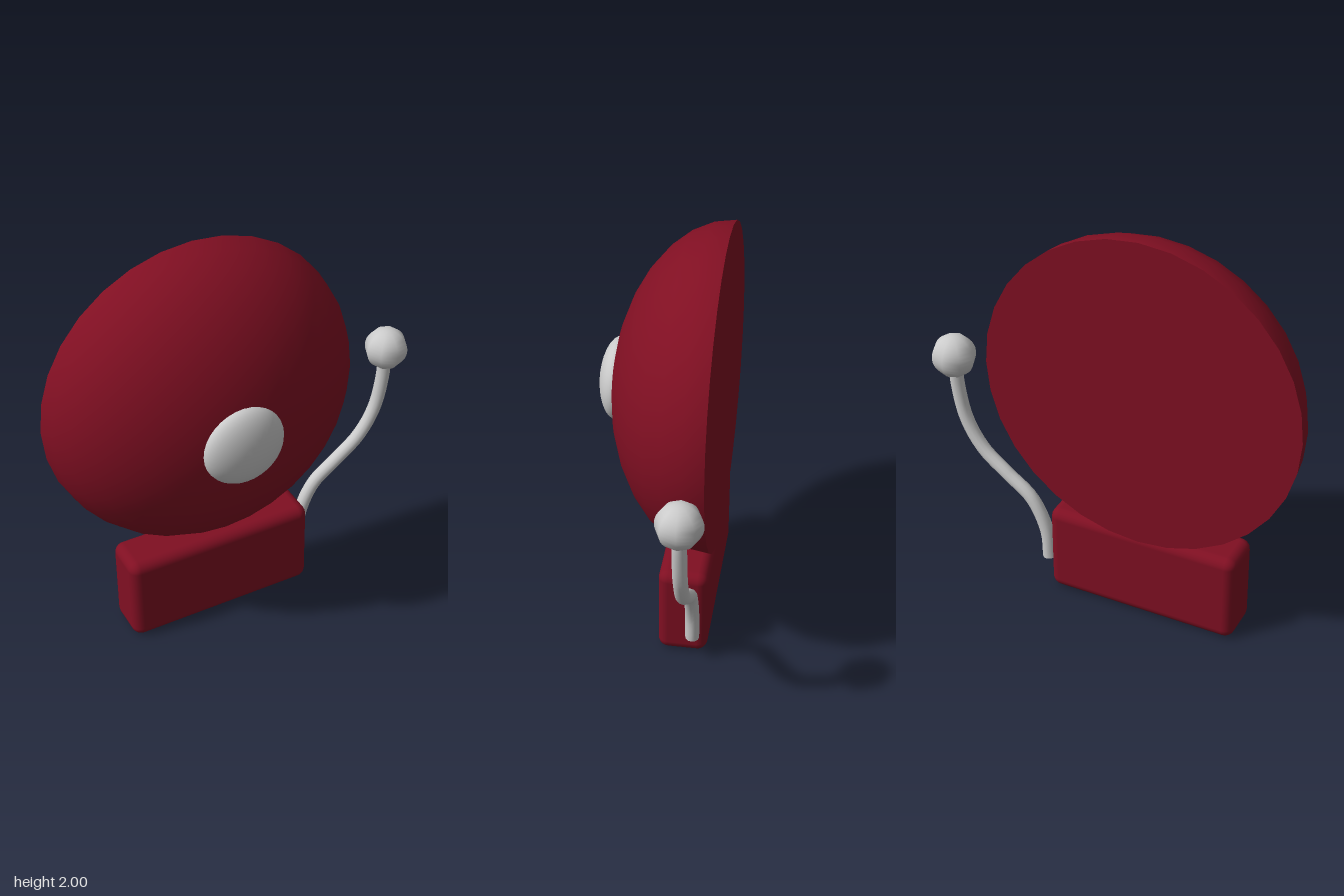
import * as THREE from 'three';
import { RoundedBoxGeometry } from 'three/addons/geometries/RoundedBoxGeometry.js';

export function createModel() {
  const group = new THREE.Group();
  group.name = 'alarmBell';
  const red = new THREE.MeshStandardMaterial({ color: 0x800f22 });
  const grey = new THREE.MeshStandardMaterial({ color: 0xcccccc });

  const add = (name, geometry, material, x, y, z) => {
    const mesh = new THREE.Mesh(geometry, material);
    mesh.name = name;
    mesh.position.set(x, y, z);
    group.add(mesh);
    return mesh;
  };

  // Half-ellipsoid facing +z
  const dome = (radius, depth, sides, rings) =>
    new THREE.SphereGeometry(radius, sides, rings, 0, Math.PI * 2, 0, Math.PI / 2)
      .rotateX(Math.PI / 2)
      .scale(1, 1, depth / radius);

  // Gong shell with its flat back
  add('gong', dome(0.78, 0.525, 32, 8), red, -0.17, 1.22, -0.28);
  add('gongBack', new THREE.CircleGeometry(0.78, 32).rotateY(Math.PI), red, -0.17, 1.22, -0.28);

  // Domed cap in the middle of the gong
  add('centreCap', dome(0.2, 0.09, 32, 8), grey, -0.185, 1.22, 0.225);

  // Rounded housing below the gong
  add('base', new RoundedBoxGeometry(0.97, 0.46, 0.24, 3, 0.05), red, -0.17, 0.23, -0.15);

  // S-shaped striker arm
  const armZ = -0.205;
  const path = new THREE.CatmullRomCurve3([
    [0.35, 0.13], [0.362, 0.28], [0.44, 0.45], [0.57, 0.555],
    [0.7, 0.665], [0.785, 0.81], [0.825, 1.0], [0.83, 1.12],
  ].map(([x, y]) => new THREE.Vector3(x, y, 0)));
  add('strikerArm', new THREE.TubeGeometry(path, 32, 0.034, 12), grey, 0, 0, armZ);
  add('strikerArmEnd', new THREE.CircleGeometry(0.034, 12).rotateX(Math.PI / 2), grey, 0.35, 0.13, armZ);

  // Ball at the tip of the arm
  add('strikerBall', new THREE.SphereGeometry(0.107, 8, 16), grey, 0.835, 1.155, armZ);

  return group;
}
